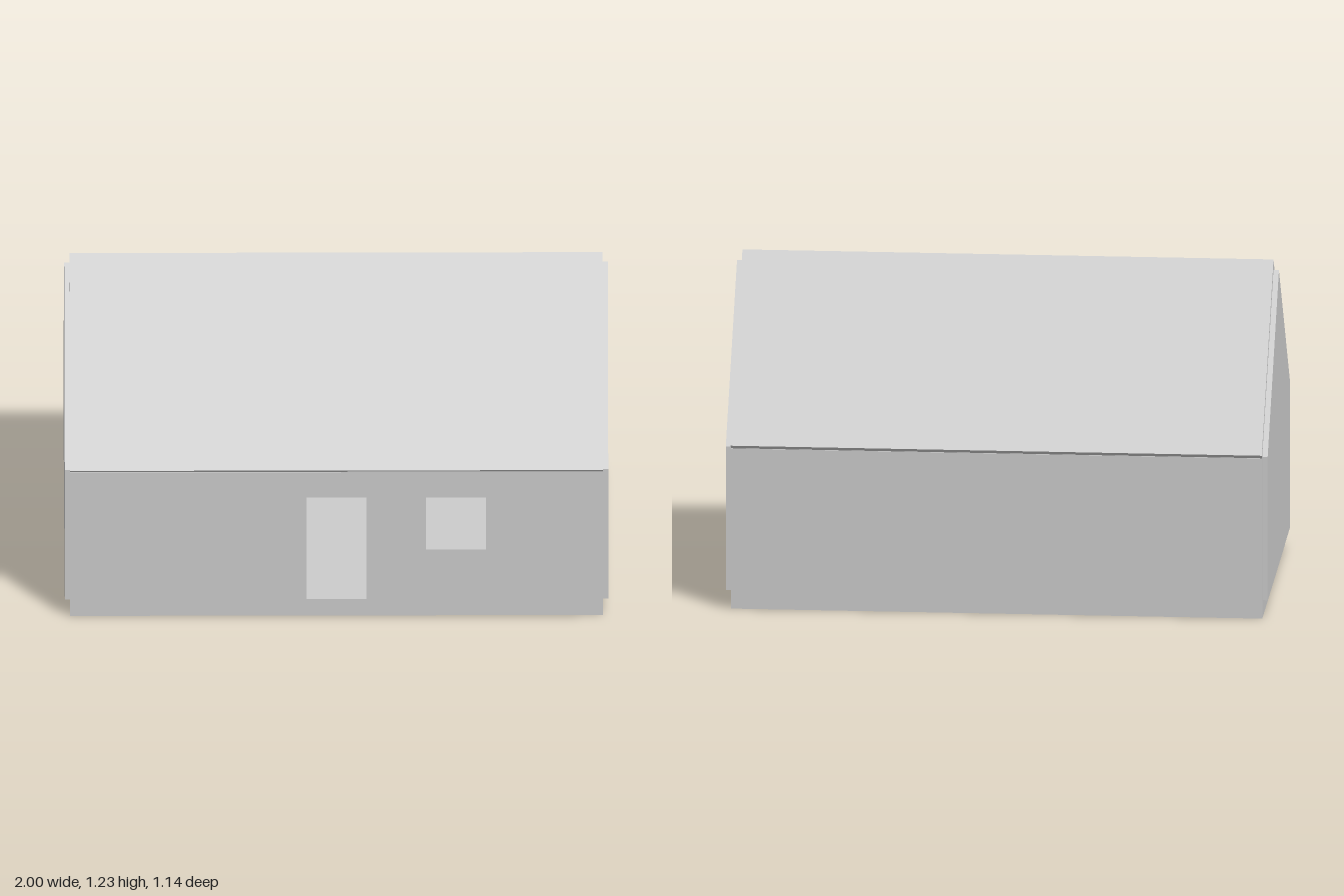
import * as THREE from 'three';

const material = new THREE.MeshStandardMaterial({ color: 0xcccccc, flatShading: true });
const WALL = 0.03;

function polygon(points) {
  return new THREE.Shape(points.map(([x, y]) => new THREE.Vector2(x, y)));
}

// Rectangle path; used for outlines and openings
function rect(x0, x1, y0, y1) {
  return polygon([[x0, y0], [x1, y0], [x1, y1], [x0, y1]]);
}

function addMesh(parent, name, geometry) {
  const mesh = new THREE.Mesh(geometry, material);
  mesh.name = name;
  parent.add(mesh);
  return mesh;
}

// Extrude an xy outline towards +z
function slab(shape, depth) {
  return new THREE.ExtrudeGeometry(shape, { depth, bevelEnabled: false });
}

// Extrude a cross-section (across the house, up) along x
function alongX(shape, x0, x1) {
  return slab(shape, x1 - x0).rotateY(Math.PI / 2).translate(x0, 0, 0);
}

function gable() {
  return polygon([[-0.545, 0.07], [0.545, 0.07], [0.545, 0.615], [0, 1.185], [-0.545, 0.615]]);
}

export function createModel() {
  const house = new THREE.Group();
  house.name = 'house';

  // Foundation, its top is the ground floor
  addMesh(house, 'foundation', new THREE.BoxGeometry(1.96, 0.07, 1.09)).position.y = 0.035;

  // Front wall with doorway and window
  const front = polygon([
    [-0.98, 0.07], [-0.11, 0.07], [-0.11, 0.505], [0.11, 0.505],
    [0.11, 0.07], [0.98, 0.07], [0.98, 0.612], [-0.98, 0.612],
  ]);
  front.holes.push(rect(0.33, 0.55, 0.285, 0.505));
  addMesh(house, 'frontWall', slab(front, WALL)).position.z = 0.53;

  // Plain back wall
  addMesh(house, 'backWall', slab(rect(-0.98, 0.98, 0.07, 0.612), WALL)).position.z = -0.56;

  // Gable walls, two windows on the +x end only
  const windowed = gable();
  for (const x of [-0.33, 0.11]) windowed.holes.push(rect(x, x + 0.22, 0.285, 0.505));
  addMesh(house, 'leftGableWall', alongX(windowed, 1 - WALL, 1));
  addMesh(house, 'rightGableWall', alongX(gable(), -1, -1 + WALL));

  // Pitched roof, one folded sheet with square-cut eaves
  const roof = polygon([
    [-0.57, 0.625], [-0.55, 0.606], [0, 1.184], [0.55, 0.606], [0.57, 0.625], [0, 1.225],
  ]);
  addMesh(house, 'roof', alongX(roof, -0.98, 0.98));

  // Attic floor with stair opening
  const attic = rect(-0.97, 0.97, -0.53, 0.53);
  attic.holes.push(rect(-0.42, -0.2, -0.2, 0.12));
  addMesh(house, 'atticFloor', slab(attic, 0.025).rotateX(-Math.PI / 2).translate(0, 0.57, 0));

  // Open stair climbing towards the back
  const stair = new THREE.Group();
  stair.name = 'stair';
  house.add(stair);
  const steps = 10, rise = 0.525 / steps, run = 0.042, startZ = 0.27;
  for (let i = 1; i < steps; i++) {
    addMesh(stair, 'tread', new THREE.BoxGeometry(0.18, 0.01, 0.05))
      .position.set(-0.31, 0.07 + i * rise, startZ - i * run);
  }
  const endZ = startZ - steps * run;
  const stringer = polygon([
    [-startZ - 0.03, 0.07], [-startZ + 0.03, 0.07], [-endZ + 0.03, 0.595], [-endZ - 0.03, 0.595],
  ]);
  for (const x of [-0.415, -0.22]) addMesh(stair, 'stringer', alongX(stringer, x, x + 0.015));

  return house;
}
